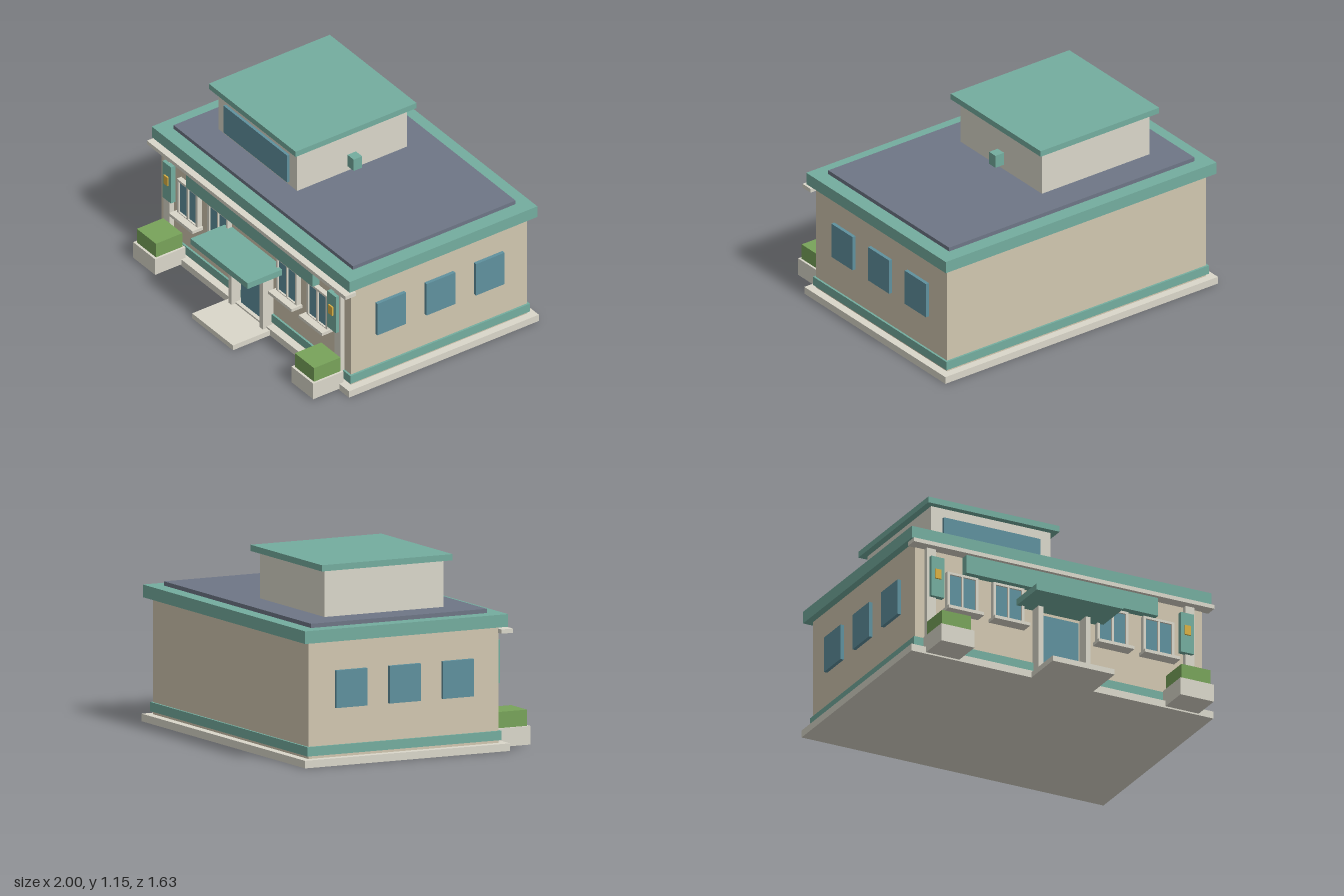
import * as THREE from 'three';

const mat = (color) => new THREE.MeshStandardMaterial({ color });

export function createModel() {
  const model = new THREE.Group();
  const wall = mat(0xd1c7b0), trim = mat(0xdad7ca), teal = mat(0x74ad9f);
  const glass = mat(0x5f919e), slate = mat(0x6e7686), leaf = mat(0x78a35a), amber = mat(0xdab044);

  // Box given by its extents on each axis
  function box(name, material, [x0, x1], [y0, y1], [z0, z1], parent = model) {
    const mesh = new THREE.Mesh(new THREE.BoxGeometry(x1 - x0, y1 - y0, z1 - z0), material);
    mesh.position.set((x0 + x1) / 2, (y0 + y1) / 2, (z0 + z1) / 2);
    mesh.name = name;
    parent.add(mesh);
    return mesh;
  }
  const around = (c, half) => [c - half, c + half];

  // Main block
  box('basePlinth', trim, [-1, 1], [0, 0.045], [-0.815, 0.55]);
  box('mainWalls', wall, [-0.95, 0.95], [0.045, 0.74], [-0.765, 0.5]);
  box('baseBand', teal, [-0.963, 0.963], [0.062, 0.117], [-0.778, 0.513]);
  box('frontCornice', trim, [-0.995, 0.995], [0.697, 0.722], [0.495, 0.573]);
  box('roofFascia', teal, [-0.993, 0.993], [0.735, 0.81], [-0.81, 0.54]);
  box('roofDeck', slate, [-0.9, 0.9], [0.81, 0.835], [-0.72, 0.45]);

  // Rooftop room
  box('upperRoom', trim, [-0.715, 0.075], [0.835, 1.115], [-0.53, 0.26]);
  box('upperRoof', teal, [-0.755, 0.115], [1.113, 1.15], [-0.57, 0.3]);
  box('upperWindow', glass, [-0.64, 0], [0.86, 1.05], [0.25, 0.278]);
  box('ventBox', teal, [0.07, 0.138], [0.867, 0.947], [-0.163, -0.102]);

  // Blank fascia panel over the entrance
  box('signPanel', teal, [-0.635, 0.635], [0.582, 0.697], [0.495, 0.55]);

  // Front windows: framed opening, glass, mullion and sill
  const hole = (w, h) => [[-w, -h], [-w, h], [w, h], [w, -h]].map((p) => new THREE.Vector2(...p));
  for (const x of [-0.65, -0.345, 0.345, 0.65]) {
    const win = new THREE.Group();
    win.name = 'frontWindow';
    const shape = new THREE.Shape(hole(0.103, 0.122).reverse());
    shape.holes.push(new THREE.Path(hole(0.087, 0.107)));
    const frame = new THREE.Mesh(
      new THREE.ExtrudeGeometry(shape, { depth: 0.035, bevelEnabled: false }), trim);
    frame.name = 'windowFrame';
    frame.position.set(x, 0.45, 0.497);
    win.add(frame);
    box('windowGlass', glass, around(x, 0.088), [0.34, 0.558], [0.49, 0.52], win);
    box('windowMullion', trim, around(x, 0.006), [0.34, 0.558], [0.5, 0.531], win);
    box('windowSill', trim, around(x, 0.117), [0.318, 0.338], [0.495, 0.578], win);
    model.add(win);
  }

  // Side windows on both walls
  for (const side of [-1, 1]) {
    for (const z of [0.222, -0.132, -0.487]) {
      box('sideWindow', glass, around(side * 0.958, 0.014), [0.336, 0.558], around(z, 0.103));
    }
  }

  // Entrance
  box('frontDoor', glass, [-0.12, 0.12], [0.045, 0.43], [0.49, 0.525]);
  box('entranceStep', trim, [-0.205, 0.205], [0, 0.034], [0.54, 0.815]);
  box('entranceCanopy', teal, [-0.287, 0.287], [0.46, 0.5], [0.495, 0.768]);

  // Paired parts: door posts, corner pilasters, lamp panels and planters
  for (const side of [-1, 1]) {
    box('doorPost', trim, around(side * 0.157, 0.016), [0.03, 0.46], [0.495, 0.577]);
    box('cornerPilaster', trim, around(side * 0.857, 0.03), [0.045, 0.7], [0.495, 0.53]);
    box('lampPanel', teal, around(side * 0.827, 0.043), [0.385, 0.64], [0.52, 0.552]);
    box('lamp', amber, around(side * 0.827, 0.02), [0.498, 0.558], [0.54, 0.562]);
    box('planterBox', trim, around(side * 0.793, 0.11), [0.01, 0.12], [0.52, 0.738]);
    box('planterHedge', leaf, around(side * 0.793, 0.096), [0.115, 0.216], [0.532, 0.722]);
  }

  return model;
}
